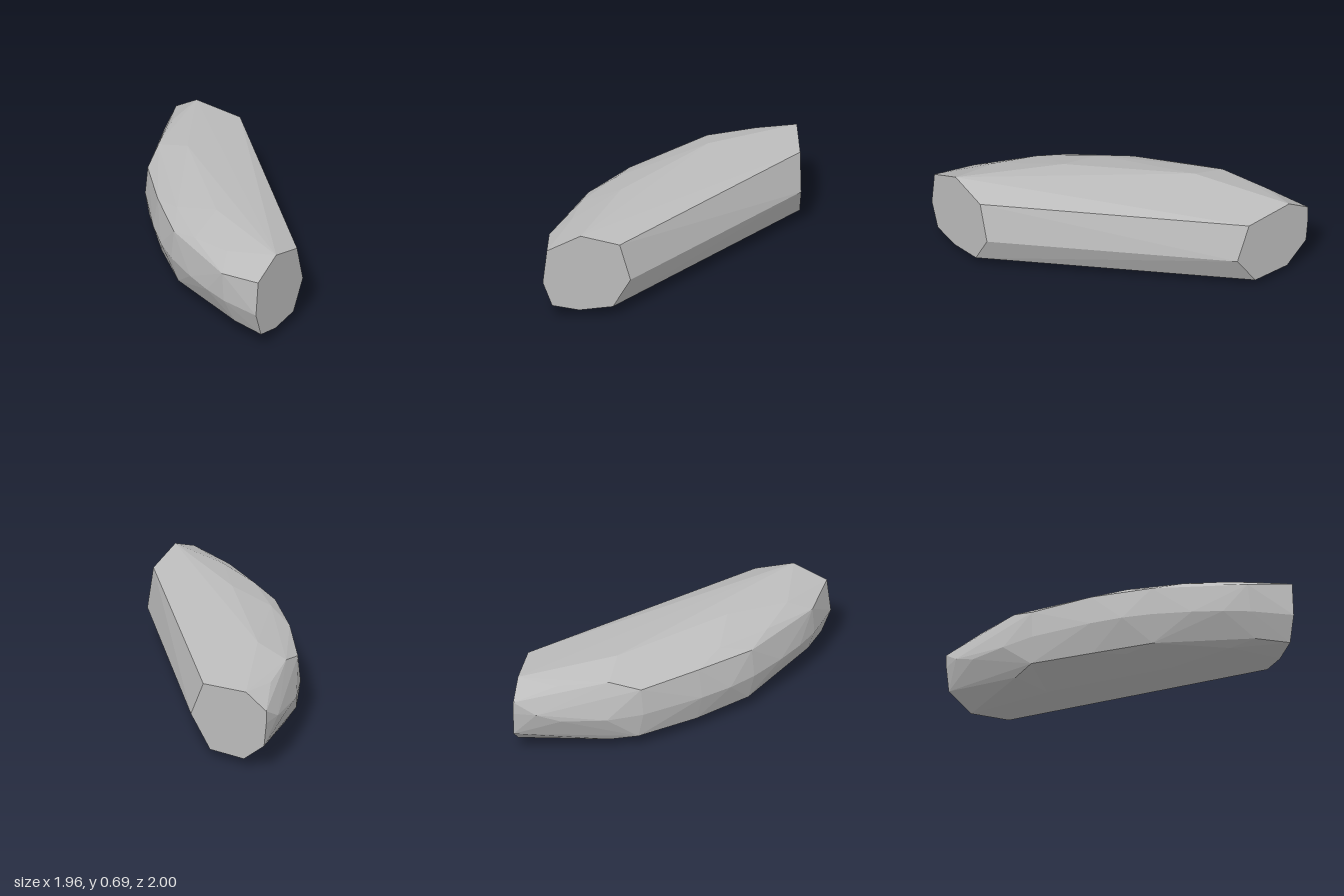
import * as THREE from 'three';
import { ConvexGeometry } from 'three/addons/geometries/ConvexGeometry.js';

export function createModel() {
  const stone = new THREE.MeshStandardMaterial({ color: 0xbcbcbc });
  stone.name = 'plain grey';

  // flat end facing +x, as [z, y]
  const sideCap = [[0.72, 0.69], [0.97, 0.575], [1, 0.31], [0.93, 0.115],
    [0.73, 0.07], [0.48, 0.09], [0.35, 0.31], [0.43, 0.605]]
    .map(([z, y]) => [0.98, y, z]);

  // flat end facing -z, as [x, y]
  const backCap = [[-0.8, 0.61], [-0.42, 0.58], [-0.31, 0.305], [-0.48, 0.06],
    [-0.78, 0.06], [-0.96, 0.21], [-0.98, 0.4], [-0.98, 0.5]]
    .map(([x, y]) => [x, y, -1]);

  // widest line of the curved outer side, as [x, z]
  const equator = [[-0.8, -0.33], [-0.67, -0.08], [-0.36, 0.3], [-0.18, 0.48],
    [0, 0.62], [0.26, 0.77], [0.47, 0.87], [0.66, 0.94]]
    .map(([x, z]) => [x, 0.31, z]);
  const rearBulge = [[-0.97, 0.4, -0.83], [-0.91, 0.33, -0.65]];

  // upper ridge, shoulder and crown
  const upper = [
    [-0.66, 0.52, -0.1], [-0.34, 0.54, 0.27], [0.01, 0.53, 0.6], [0.64, 0.53, 0.93],
    [-0.82, 0.58, -0.7], [-0.71, 0.59, -0.33], [-0.1, 0.595, 0.38],
    [0.24, 0.58, 0.67], [0.57, 0.615, 0.755],
    [-0.45, 0.662, -0.32], [0.24, 0.672, 0.37],
  ];

  // lower ridge and keel
  const lower = [
    [-0.66, 0.11, -0.12], [-0.32, 0.095, 0.25], [0.03, 0.1, 0.57], [0.72, 0.125, 0.88],
    [-0.7, 0.08, -0.33], [-0.1, 0.07, 0.38], [0.57, 0.075, 0.755],
    [-0.45, 0, -0.32], [0.24, 0.017, 0.37],
  ];

  // faceted skin stretched over the section points
  const points = [...sideCap, ...backCap, ...equator, ...rearBulge, ...upper, ...lower]
    .map((p) => new THREE.Vector3(...p));
  const body = new THREE.Mesh(new ConvexGeometry(points), stone);
  body.name = 'facetedCurvedBody';

  const group = new THREE.Group();
  group.name = 'curvedBlock';
  group.add(body);
  return group;
}
